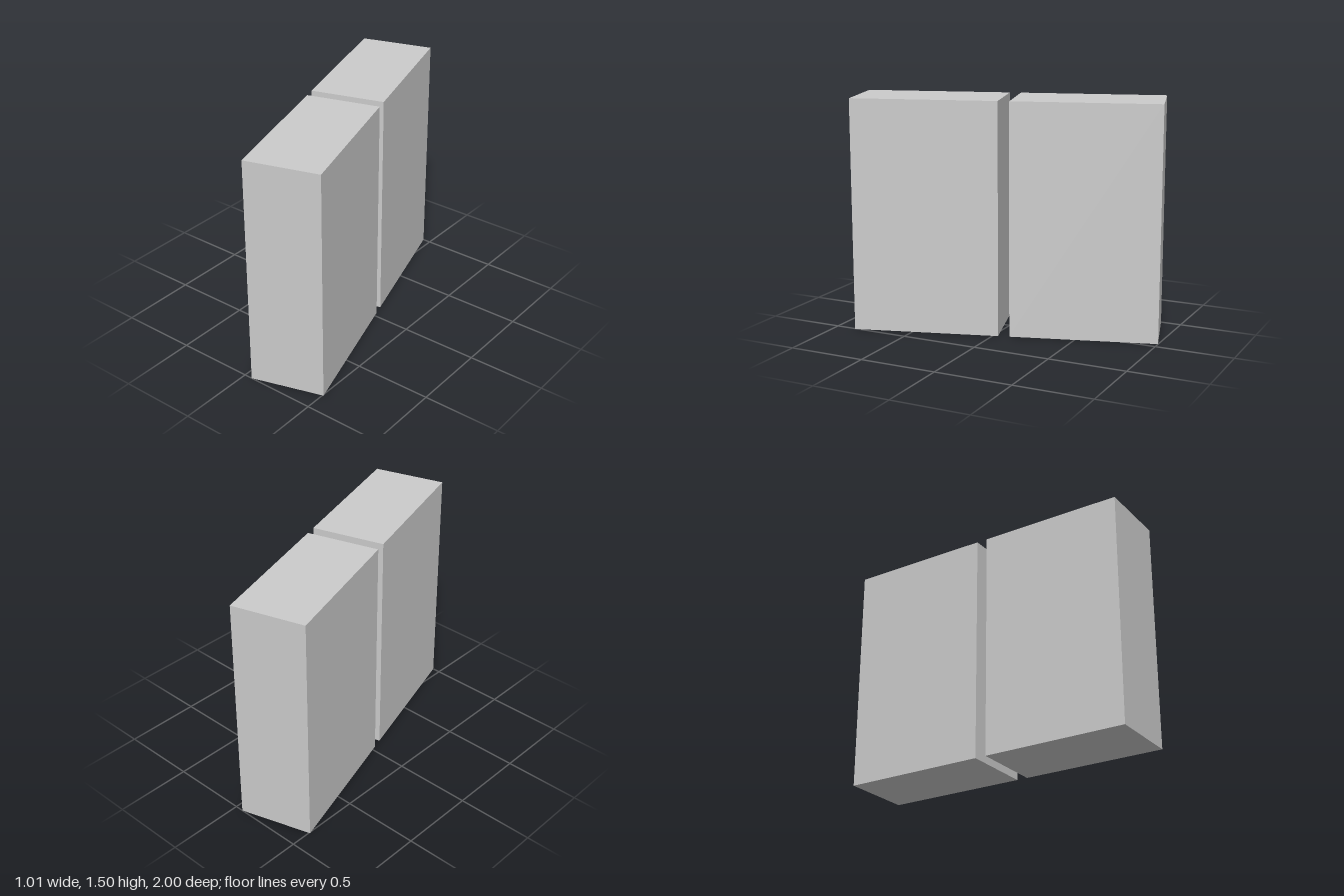
import * as THREE from 'three';

const WIDTH = 0.473, HEIGHT = 1.496, DEPTH = 0.937;
const OFFSET = 0.5045; // block centre from the middle of the gap

export function createModel() {
  const model = new THREE.Group();
  model.name = 'twinBlocks';
  const material = new THREE.MeshStandardMaterial({ color: 0xcccccc, flatShading: true });
  const geometry = new THREE.BoxGeometry(WIDTH, HEIGHT, DEPTH);

  // Two equal blocks in a row with a narrow gap, turned together about y
  const row = new THREE.Group();
  row.name = 'blockRow';
  row.rotation.y = THREE.MathUtils.degToRad(16.75);
  for (const [name, side] of [['frontBlock', 1], ['backBlock', -1]]) {
    const block = new THREE.Mesh(geometry, material);
    block.name = name;
    block.position.set(0, HEIGHT / 2, side * OFFSET);
    row.add(block);
  }
  model.add(row);
  return model;
}
